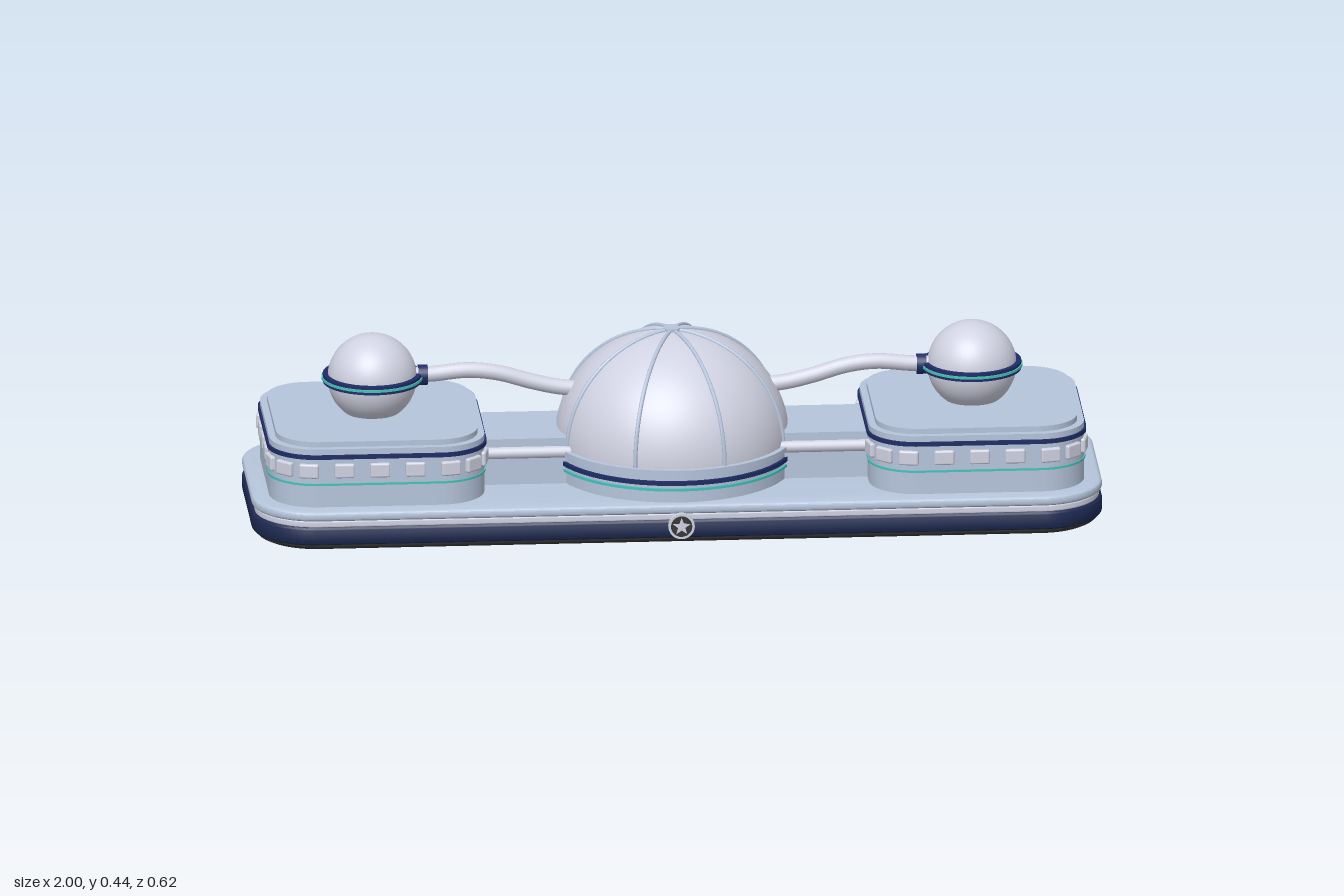
import * as THREE from 'three';
import { toCreasedNormals } from 'three/addons/utils/BufferGeometryUtils.js';
import { RoundedBoxGeometry } from 'three/addons/geometries/RoundedBoxGeometry.js';

function material(name, color) {
  const m = new THREE.MeshStandardMaterial({ color });
  m.name = name;
  return m;
}

export function createModel() {
  const hull = material('blue grey', 0xb6c5dc);
  const silver = material('silver', 0xd0d2e2);
  const navy = material('navy', 0x1f2c66);
  const darkNavy = material('dark navy', 0x1d2a52);
  const teal = material('teal', 0x48c2ba);
  const black = material('charcoal', 0x363638);

  const model = new THREE.Group();
  model.name = 'domedStation';

  function add(parent, name, geometry, mat, x = 0, y = 0, z = 0) {
    const mesh = new THREE.Mesh(geometry, mat);
    mesh.name = name;
    mesh.position.set(x, y, z);
    parent.add(mesh);
    return mesh;
  }
  function group(parent, name, x = 0) {
    const g = new THREE.Group();
    g.name = name;
    g.position.x = x;
    parent.add(g);
    return g;
  }

  // Rounded rectangle, starting at the middle of its +x side
  function roundedRect(w, d, r) {
    const a = w / 2, b = d / 2, q = Math.PI / 2;
    const s = new THREE.Shape();
    s.moveTo(a, 0);
    s.lineTo(a, b - r);
    s.absarc(a - r, b - r, r, 0, q);
    s.lineTo(r - a, b);
    s.absarc(r - a, b - r, r, q, 2 * q);
    s.lineTo(-a, r - b);
    s.absarc(r - a, r - b, r, 2 * q, 3 * q);
    s.lineTo(a - r, -b);
    s.absarc(a - r, r - b, r, 3 * q, 4 * q);
    s.lineTo(a, 0);
    return s;
  }

  // Horizontal slab between two heights, with an optional rounded rim
  function slab(parent, name, mat, w, d, r, y0, y1, inset = 0, rim = inset) {
    const shape = roundedRect(w - 2 * inset, d - 2 * inset, r - inset);
    const g = new THREE.ExtrudeGeometry(shape, {
      depth: y1 - y0 - 2 * rim, curveSegments: 14, bevelEnabled: inset > 0,
      bevelSize: inset, bevelThickness: rim, bevelSegments: 5,
    });
    g.rotateX(-Math.PI / 2);
    return add(parent, name, toCreasedNormals(g, 0.6), mat, 0, y0 + rim, 0);
  }

  function drum(parent, name, mat, r, y0, y1) {
    return add(parent, name, new THREE.CylinderGeometry(r, r, y1 - y0, 56), mat, 0, (y0 + y1) / 2, 0);
  }

  // Base platform
  const base = group(model, 'base');
  slab(base, 'underside', black, 1.985, 0.585, 0.145, 0, 0.044, 0.04, 0.02);
  slab(base, 'navySkirt', darkNavy, 2, 0.594, 0.15, 0.016, 0.063, 0.012);
  slab(base, 'silverTrim', silver, 1.985, 0.584, 0.142, 0.06, 0.077, 0.005);
  slab(base, 'deck', hull, 2, 0.594, 0.15, 0.075, 0.099, 0.011);

  // Star badge on the front and back of the base
  const star = new THREE.Shape();
  for (let i = 0; i < 10; i++) {
    const r = i % 2 ? 0.009 : 0.022, a = Math.PI / 2 + i * Math.PI / 5;
    star[i ? 'lineTo' : 'moveTo'](r * Math.cos(a), r * Math.sin(a));
  }
  star.closePath();
  const disc = (r, h) => new THREE.CylinderGeometry(r, r, h, 36).rotateX(Math.PI / 2);
  for (const side of [1, -1]) {
    const badge = group(base, side > 0 ? 'frontBadge' : 'backBadge');
    badge.position.set(0, 0.049, side * 0.295);
    if (side < 0) badge.rotation.y = Math.PI;
    add(badge, 'badgeRim', disc(0.031, 0.012), silver, 0, 0, 0.006);
    add(badge, 'badgeFace', disc(0.025, 0.002), black, 0, 0, 0.012);
    add(badge, 'star', new THREE.ExtrudeGeometry(star, { depth: 0.002, bevelEnabled: false }), silver, 0, 0, 0.0125);
  }

  // Central dome on its drum
  const hall = group(model, 'centralHall');
  drum(hall, 'drumWall', hull, 0.278, 0.098, 0.17);
  drum(hall, 'drumTealLine', teal, 0.284, 0.128, 0.134);
  drum(hall, 'drumNavyBand', navy, 0.285, 0.142, 0.152);
  drum(hall, 'cornice', hull, 0.287, 0.168, 0.18);
  const R = 0.274, H = 0.259, Y = 0.178;
  add(hall, 'dome', new THREE.SphereGeometry(1, 56, 20, 0, Math.PI * 2, 0, Math.PI / 2).scale(R, H, R), silver, 0, Y, 0);

  // Eight ribs over the dome
  const arc = [];
  for (let i = 0; i <= 12; i++) {
    const a = i / 12 * (Math.PI / 2 - 0.06);
    arc.push(new THREE.Vector3((R + 0.001) * Math.cos(a), Y + (H + 0.001) * Math.sin(a), 0));
  }
  const ribGeometry = new THREE.TubeGeometry(new THREE.CatmullRomCurve3(arc), 28, 0.005, 8);
  for (let i = 0; i < 8; i++) {
    add(hall, 'domeRib', ribGeometry, hull).rotation.y = (i + 0.5) * Math.PI / 4;
  }
  drum(hall, 'domeCap', hull, 0.02, 0.428, 0.443);

  for (const side of [1, -1]) {
    const word = side > 0 ? 'left' : 'right';

    // Corridor from the dome to the pavilion, with a rail along each wall
    const corridor = group(model, word + 'Corridor', side * 0.34);
    add(corridor, 'corridorWall', new THREE.BoxGeometry(0.26, 0.113, 0.214), hull, 0, 0.154, 0);
    for (const z of [-0.107, 0.107]) {
      add(corridor, 'corridorRail', new THREE.CylinderGeometry(0.014, 0.014, 0.26, 16).rotateZ(Math.PI / 2), silver, 0, 0.177, z);
    }

    // Pavilion with coloured bands and a stepped roof
    const W = 0.506, C = 0.11;
    const pavilion = group(model, word + 'Pavilion', side * 0.705);
    slab(pavilion, 'pavilionWall', hull, W, W, C, 0.098, 0.218);
    slab(pavilion, 'pavilionTealLine', teal, W + 0.006, W + 0.006, C + 0.003, 0.152, 0.157);
    slab(pavilion, 'pavilionNavyBand', navy, W + 0.01, W + 0.01, C + 0.005, 0.217, 0.227);
    slab(pavilion, 'roofEdge', hull, W, W, C, 0.226, 0.241);
    slab(pavilion, 'roofStep', hull, 0.474, 0.474, 0.1, 0.24, 0.254);

    // Windows: five along each side and one on each corner
    const path = roundedRect(W, W, C);
    const quarter = path.getLength() / 4;
    const pane = new RoundedBoxGeometry(0.047, 0.035, 0.016, 2, 0.005);
    for (let i = 0; i < 4; i++) {
      for (const offset of [0, 0.0835, 0.167, quarter / 2, quarter - 0.167, quarter - 0.0835]) {
        const u = (i * quarter + offset) / (4 * quarter);
        const p = path.getPointAt(u), t = path.getTangentAt(u);
        add(pavilion, 'window', pane, silver, p.x, 0.188, p.y).rotation.y = -Math.atan2(t.y, t.x);
      }
    }

    // Globe set into the roof, with a ringed equator
    add(pavilion, 'globe', new THREE.SphereGeometry(0.105, 40, 28), silver, 0, 0.337, 0);
    drum(pavilion, 'globeNavyRing', navy, 0.116, 0.328, 0.348);
    drum(pavilion, 'globeTealRing', teal, 0.119, 0.335, 0.341);

    // Curved tube linking the globe and the dome
    const route = [[0.61, 0.34], [0.56, 0.342], [0.48, 0.349], [0.41, 0.341], [0.33, 0.318], [0.27, 0.304], [0.2, 0.296]];
    const curve = new THREE.CatmullRomCurve3(route.map(([x, y]) => new THREE.Vector3(side * x, y, 0)));
    add(model, word + 'LinkTube', new THREE.TubeGeometry(curve, 40, 0.0185, 16), silver);
    add(model, word + 'TubeCollar', new THREE.CylinderGeometry(0.024, 0.024, 0.022, 24).rotateZ(Math.PI / 2), navy, side * 0.586, 0.34, 0);
  }

  return model;
}
